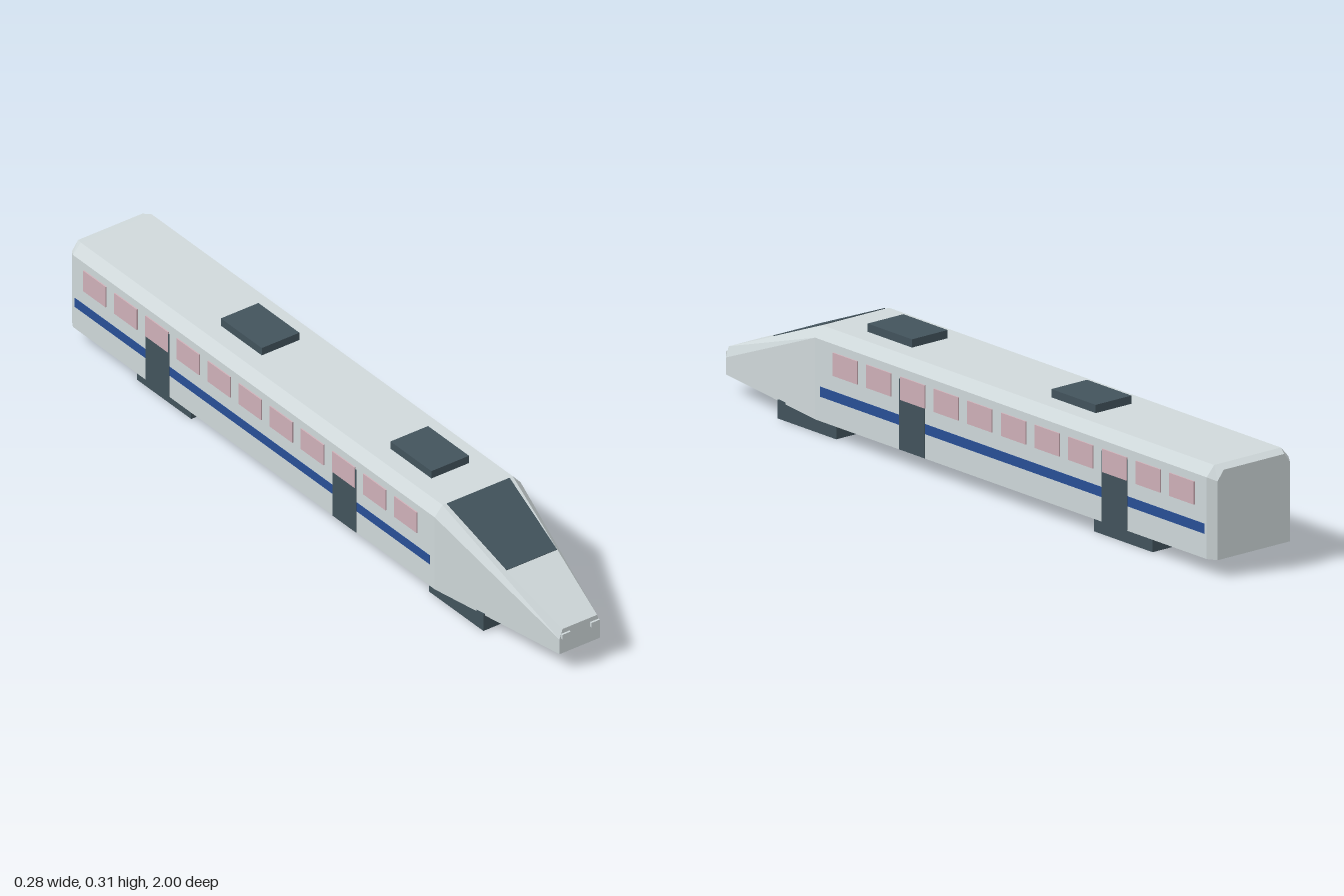
import * as THREE from 'three';

const flat = (name, color) => {
  const m = new THREE.MeshStandardMaterial({ color });
  m.name = name;
  return m;
};

// Hull lofted through cross-sections; the underside is its own material group
function hullGeometry(sections, base) {
  const rings = sections.map(({ z, w, shoulder, r, top }) => [
    [w, base, z], [w, shoulder, z], [r, top, z], [-r, top, z], [-w, shoulder, z], [-w, base, z],
  ]);
  const shell = [], under = [];
  const quad = (out, a, b, c, d) => out.push(...a, ...b, ...c, ...a, ...c, ...d);
  for (let k = 0; k < rings.length - 1; k++) {
    const A = rings[k], B = rings[k + 1];
    for (let i = 0; i < 6; i++) {
      const j = (i + 1) % 6;
      quad(i === 5 ? under : shell, A[i], A[j], B[j], B[i]);
    }
  }
  const tail = rings[0], nose = rings[rings.length - 1];
  for (let i = 1; i < 5; i++) {
    shell.push(...nose[0], ...nose[i], ...nose[i + 1]);
    shell.push(...tail[0], ...tail[i + 1], ...tail[i]);
  }
  const g = new THREE.BufferGeometry();
  g.setAttribute('position', new THREE.Float32BufferAttribute([...shell, ...under], 3));
  g.addGroup(0, shell.length / 3, 0);
  g.addGroup(shell.length / 3, under.length / 3, 1);
  g.computeVertexNormals();
  return g;
}

export function createModel() {
  const train = new THREE.Group();
  train.name = 'trainCar';
  const body = flat('body grey', 0xcfd8da);
  const dark = flat('dark slate', 0x42535c);
  const glass = flat('window pink', 0xcfb0b8);
  const blue = flat('stripe blue', 0x284f96);

  const add = (name, geometry, material, x = 0, y = 0, z = 0) => {
    const mesh = new THREE.Mesh(geometry, material);
    mesh.name = name;
    mesh.position.set(x, y, z);
    train.add(mesh);
    return mesh;
  };
  // Box given by its minimum and maximum along each axis
  const box = (name, material, [x0, x1], [y0, y1], [z0, z1]) =>
    add(name, new THREE.BoxGeometry(x1 - x0, y1 - y0, z1 - z0), material,
      (x0 + x1) / 2, (y0 + y1) / 2, (z0 + z1) / 2);

  // Body with chamfered roof, bevelled tail and wedge nose
  add('hull', hullGeometry([
    { z: -1, w: 0.122, shoulder: 0.256, r: 0.102, top: 0.283 },
    { z: -0.975, w: 0.137, shoulder: 0.264, r: 0.112, top: 0.292 },
    { z: 0.56, w: 0.137, shoulder: 0.264, r: 0.112, top: 0.292 },
    { z: 0.994, w: 0.065, shoulder: 0.09, r: 0.055, top: 0.118 },
  ], 0.045), [body, dark]);

  // Windscreen plate lying on the nose slope
  const rise = 0.0916, run = 0.228, length = Math.hypot(rise, run);
  const screen = new THREE.Shape([
    new THREE.Vector2(-0.08, 0), new THREE.Vector2(0.08, 0),
    new THREE.Vector2(0.1, length), new THREE.Vector2(-0.1, length),
  ]);
  add('windscreen', new THREE.ExtrudeGeometry(screen, { depth: 0.002, bevelEnabled: false }),
    dark, 0, 0.2, 0.79).rotation.x = Math.atan2(-run, rise);

  // Side details, mirrored: thin plates stacked stripe, door, window
  for (const s of [-1, 1]) {
    const side = (name, material, out, ys, [z0, z1]) =>
      box(name, material, s > 0 ? [0.134, out] : [-out, -0.134], ys, [z0, z1]);
    side('stripe', blue, 0.138, [0.111, 0.138], [-0.967, 0.54]);
    for (const z of [0.179, -0.615]) side('door', dark, 0.139, [0.046, 0.236], [z - 0.05, z + 0.05]);
    for (let i = 0; i < 11; i++) {
      const z = 0.44 - i * 0.132;
      side('window', glass, 0.1405, [0.18, 0.242], [z - 0.048, z + 0.048]);
    }
    box('headlight', body, s > 0 ? [0.033, 0.06] : [-0.06, -0.033], [0.091, 0.105], [0.99, 1]);
  }

  // Roof units and bogies
  for (const z of [0.357, -0.363]) box('roofUnit', dark, [-0.06, 0.06], [0.285, 0.314], [z - 0.087, z + 0.087]);
  for (const z of [0.62, -0.62]) box('bogie', dark, [-0.113, 0.113], [0, 0.05], [z - 0.115, z + 0.115]);

  return train;
}
